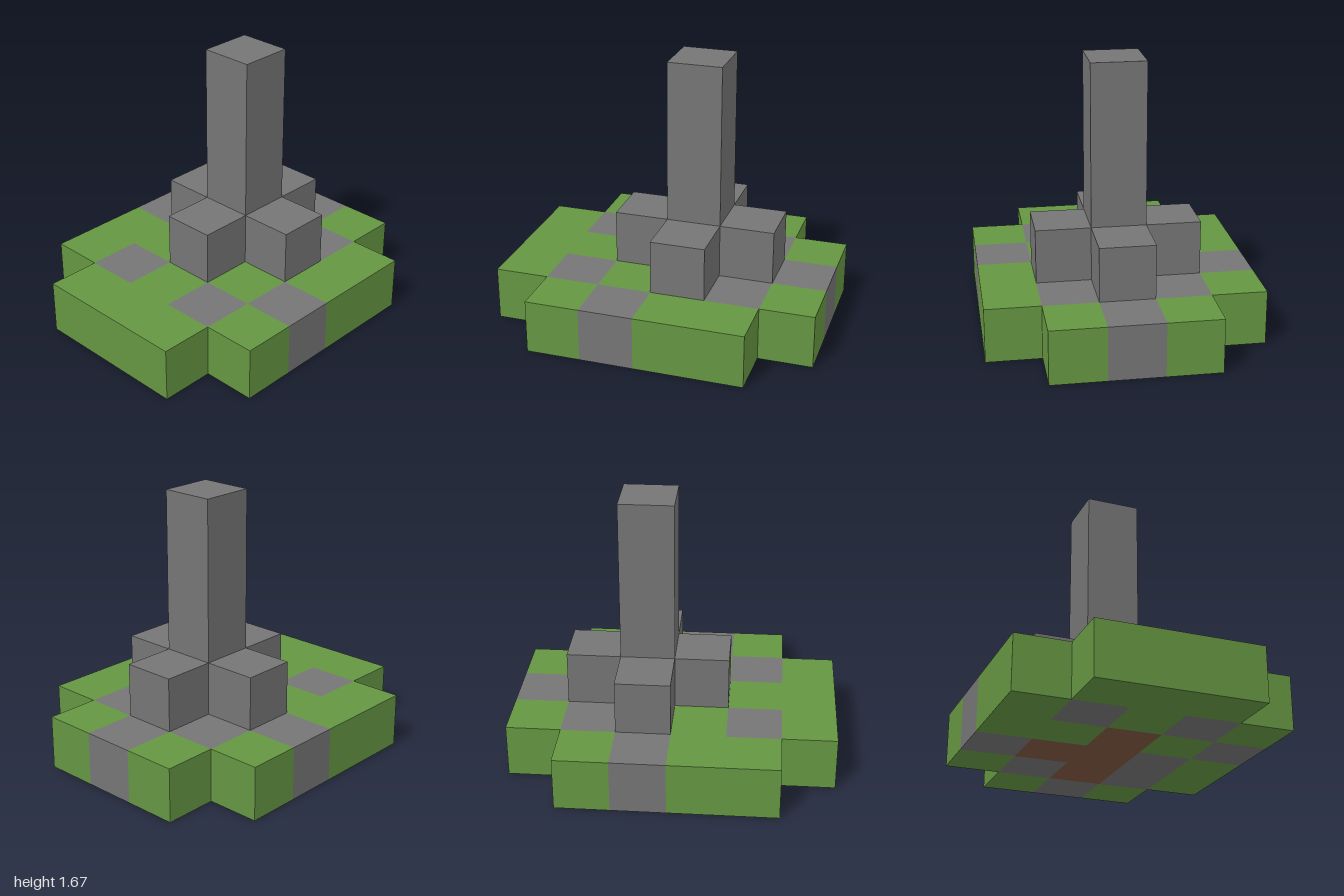
import * as THREE from 'three';

const U = 1 / 3; // edge of one block

// Ground layout, back row first, x from left of the map (-x) to right (+x)
// G grass, S stone, D dirt, . empty
const GROUND = [
  '.GSGG'.slice(0, 4) + '.',
  'GSDSG',
  'SDDSG',
  'GGDGS',
  'GSGSG',
  '.GGG.',
];

export function createModel() {
  const group = new THREE.Group();
  const mats = {
    G: new THREE.MeshStandardMaterial({ name: 'grassGreen', color: 0x659642 }),
    S: new THREE.MeshStandardMaterial({ name: 'stoneGrey', color: 0x757575 }),
    D: new THREE.MeshStandardMaterial({ name: 'dirtBrown', color: 0x7f5840 }),
  };
  const names = { G: 'grass', S: 'pavingStone', D: 'dirt' };

  // Box measured in blocks: centre column x, bottom y, centre row z
  const block = (name, key, x, y, z, w = 1, h = 1) => {
    const mesh = new THREE.Mesh(new THREE.BoxGeometry(w * U, h * U, U), mats[key]);
    mesh.name = name;
    mesh.position.set(x * U, (y + h / 2) * U, z * U);
    return mesh;
  };

  // Ground slab: one box per run of equal blocks in a row
  const ground = new THREE.Group();
  ground.name = 'ground';
  GROUND.forEach((row, r) => {
    for (const run of row.matchAll(/G+|S+|D+/g)) {
      const key = run[0][0], w = run[0].length;
      ground.add(block(names[key], key, run.index + w / 2 - 2.5, 0, r - 2.5, w));
    }
  });
  group.add(ground);

  // Four footing blocks in a cross around the pillar
  const footing = new THREE.Group();
  footing.name = 'footing';
  for (const [dx, dz] of [[1, 0], [-1, 0], [0, 1], [0, -1]]) {
    footing.add(block('footingBlock', 'S', dx, 1, dz - 0.5));
  }
  group.add(footing);

  // Tall pillar
  group.add(block('pillar', 'S', 0, 1, -0.5, 1, 4));
  return group;
}
